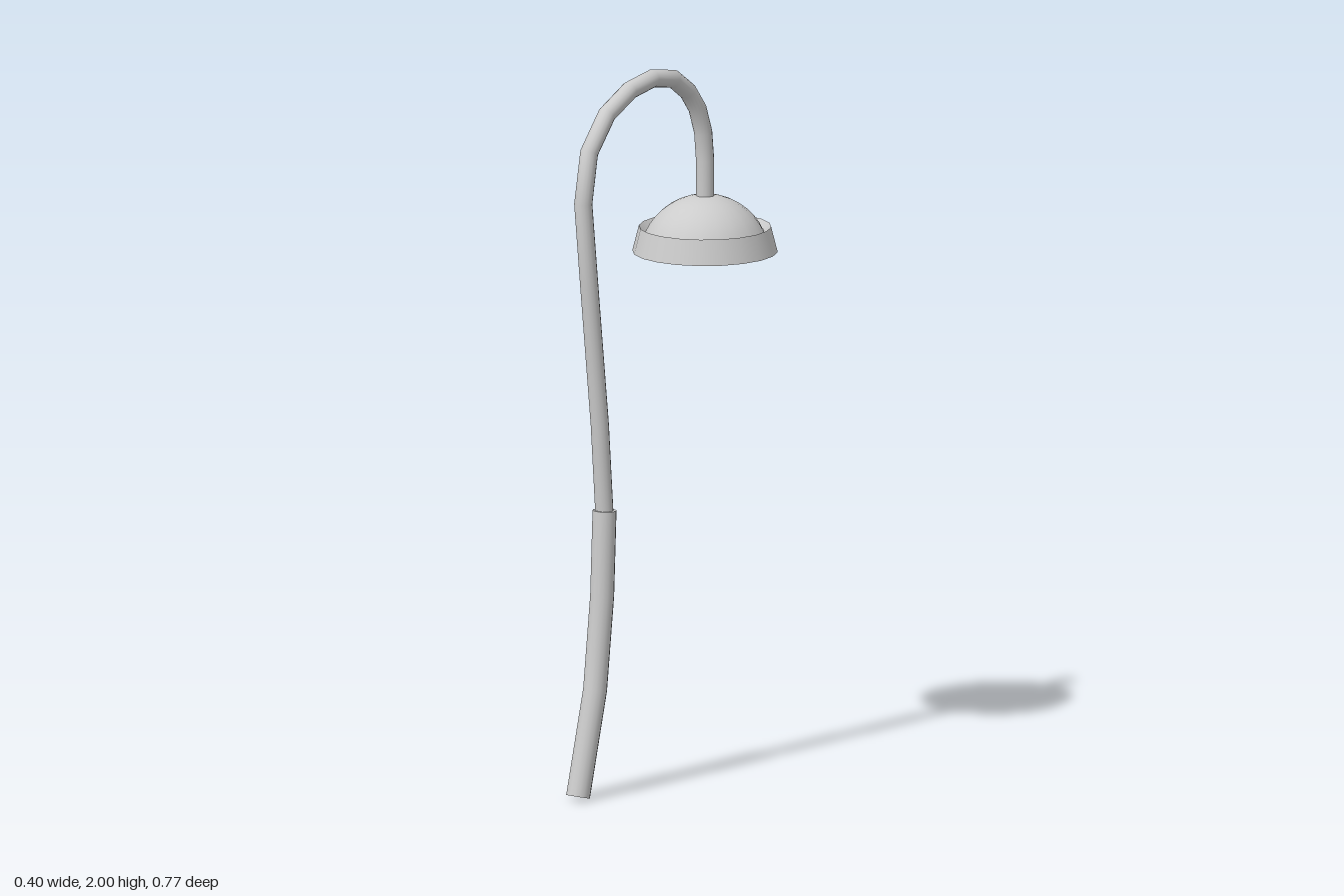
import * as THREE from 'three';

const grey = new THREE.MeshStandardMaterial({ color: 0xcccccc, side: THREE.DoubleSide });

// Straight-sided path through [z, y] points, with mitred joints
class BentPath extends THREE.Curve {
  constructor(points) {
    super();
    this.points = points.map(([z, y]) => new THREE.Vector3(0, y, z));
  }
  getPoint(t, target = new THREE.Vector3()) {
    const n = this.points.length - 1;
    const i = Math.min(Math.floor(t * n + 1e-6), n - 1);
    return target.lerpVectors(this.points[i], this.points[i + 1], t * n - i);
  }
  getPointAt(t, target) {
    return this.getPoint(t, target);
  }
  getTangentAt(t, target = new THREE.Vector3()) {
    const p = this.points, n = p.length - 1, i = Math.round(t * n);
    target.set(0, 0, 0);
    if (i > 0) target.add(p[i].clone().sub(p[i - 1]).normalize());
    if (i < n) target.add(p[i + 1].clone().sub(p[i]).normalize());
    return target.normalize();
  }
}

function part(name, geometry) {
  const mesh = new THREE.Mesh(geometry, grey);
  mesh.name = name;
  return mesh;
}

// Bent tube closed with a disc at each end
function pole(name, points, radius) {
  const group = new THREE.Group();
  group.name = name;
  const path = new BentPath(points);
  group.add(part(name + 'Tube', new THREE.TubeGeometry(path, points.length - 1, radius, 16)));
  for (const t of [0, 1]) {
    const cap = part(name + 'Cap', new THREE.CircleGeometry(radius, 16));
    const end = path.getPointAt(t);
    const out = path.getTangentAt(t).multiplyScalar(t ? 1 : -1);
    cap.position.copy(end);
    cap.lookAt(end.clone().add(out));
    group.add(cap);
  }
  return group;
}

function turned(name, profile) {
  return part(name, new THREE.LatheGeometry(profile.map(([r, y]) => new THREE.Vector2(r, y)), 20));
}

export function createModel() {
  const model = new THREE.Group();
  model.name = 'streetLamp';

  // Thick lower post and the slimmer swan neck rising out of it
  model.add(pole('lowerPost', [[0.352, 0.012], [0.28, 0.3], [0.25, 0.56], [0.24, 0.797]], 0.033));
  model.add(pole('swanNeck', [
    [0.24, 0.78], [0.26, 1.04], [0.305, 1.44], [0.33, 1.67], [0.305, 1.81], [0.23, 1.905],
    [0.133, 1.957], [0.037, 1.975], [-0.05, 1.96], [-0.112, 1.915], [-0.153, 1.86],
    [-0.177, 1.79], [-0.185, 1.71], [-0.185, 1.595],
  ], 0.025));

  // Lamp shade: shallow dome set inside a flared rim
  const shade = new THREE.Group();
  shade.name = 'lampShade';
  shade.position.set(0, 1.455, -0.185);
  const domeRadius = 0.165, domeBase = 0.05, domeHeight = 0.108;
  const sphere = (domeRadius ** 2 + domeHeight ** 2) / (2 * domeHeight);
  const sweep = Math.asin(domeRadius / sphere);
  const dome = [];
  for (let i = 0; i <= 8; i++) {
    const a = sweep * (1 - i / 8);
    dome.push([sphere * Math.sin(a), domeBase + domeHeight - sphere * (1 - Math.cos(a))]);
  }
  shade.add(turned('dome', dome));

  // Each rim face is turned separately so its edges stay crisp
  const rim = [[0.185, 0], [0.2, 0], [0.182, 0.07], [0.165, 0.05], [0.185, 0]];
  const names = ['rimLip', 'rimOutside', 'rimTop', 'rimInside'];
  names.forEach((name, i) => shade.add(turned(name, [rim[i], rim[i + 1]])));
  model.add(shade);

  return model;
}
